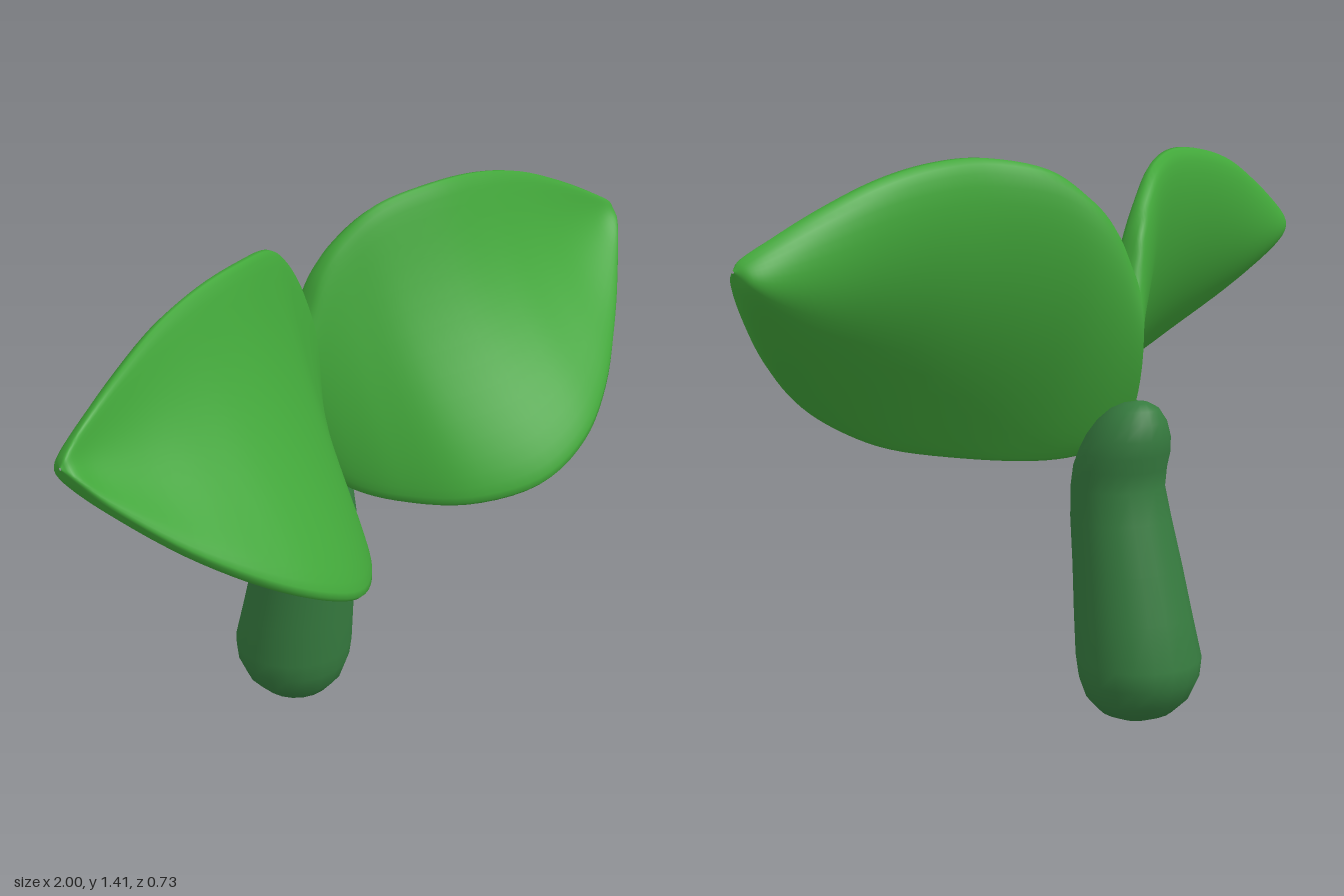
import * as THREE from 'three';

const leafGreen = new THREE.MeshStandardMaterial({ color: 0x42a73a });
leafGreen.name = 'leaf green';
const stemGreen = new THREE.MeshStandardMaterial({ color: 0x367b3f });
stemGreen.name = 'stem green';

// Skin a row of closed rings, each a list of [x, y, z] points
function loft(rings, flip = false) {
  const n = rings[0].length, index = [];
  for (let i = 0; i < rings.length - 1; i++) {
    for (let j = 0; j < n; j++) {
      const k = (j + 1) % n;
      const a = i * n + j, b = a + n, c = i * n + k, d = c + n;
      if (flip) index.push(a, c, b, b, c, d);
      else index.push(a, b, c, b, d, c);
    }
  }
  const g = new THREE.BufferGeometry();
  g.setAttribute('position', new THREE.Float32BufferAttribute(rings.flat(2), 3));
  g.setIndex(index);
  g.computeVertexNormals();
  return g;
}

// Leaf stations: x, top y, top z, bottom y, bottom z, cup depth, half thickness
const stations = [
  [0, 1.15, -0.155, 0.73, -0.13, 0.015, 0.06],
  [0.04, 1.24, -0.15, 0.675, -0.05, 0.022, 0.058],
  [0.10, 1.315, -0.13, 0.65, 0.065, 0.04, 0.057],
  [0.20, 1.385, -0.09, 0.652, 0.22, 0.06, 0.056],
  [0.35, 1.415, -0.035, 0.685, 0.33, 0.076, 0.055],
  [0.50, 1.408, -0.012, 0.755, 0.355, 0.08, 0.055],
  [0.65, 1.375, 0.008, 0.845, 0.315, 0.076, 0.053],
  [0.80, 1.315, 0.035, 0.96, 0.235, 0.064, 0.049],
  [0.92, 1.255, 0.058, 1.08, 0.155, 0.042, 0.042],
  [0.98, 1.22, 0.072, 1.155, 0.108, 0.018, 0.032],
  [1.0, 1.2, 0.084, 1.194, 0.086, 0, 0.003],
];

function leafGeometry(side) {
  const curve = (f) => new THREE.CatmullRomCurve3(stations.map(f), false, 'catmullrom', 0.5);
  const top = curve((s) => new THREE.Vector3(s[0], s[1], s[2]));
  const bottom = curve((s) => new THREE.Vector3(s[0], s[3], s[4]));
  const shape = curve((s) => new THREE.Vector3(s[5], s[6], 0));
  const rings = [], steps = 50, sides = 40;
  for (let i = 0; i <= steps; i++) {
    const t = i / steps;
    const T = top.getPoint(t), B = bottom.getPoint(t), { x: cup, y: thick } = shape.getPoint(t);
    const dy = B.y - T.y, dz = B.z - T.z, len = Math.hypot(dy, dz);
    const ring = [];
    for (let j = 0; j < sides; j++) {
      // cupped section with rounded rims: down the back, up the front
      const a = (j / sides) * Math.PI * 2, sn = Math.sin(a);
      const s = (1 - Math.cos(a)) / 2;
      const off = cup * Math.sin(Math.PI * Math.pow(s, 0.82))
        + thick * Math.sign(sn) * Math.pow(Math.abs(sn), 0.7);
      ring.push([side * T.x, T.y + dy * s - (dz / len) * off, T.z + dz * s + (dy / len) * off]);
    }
    rings.push(ring);
  }
  return loft(rings, side < 0);
}

// Stem rings: y, centre z, radius
const stemRings = [
  [0.003, -0.2, 0.001], [0.01, -0.2, 0.05], [0.03, -0.203, 0.095], [0.07, -0.207, 0.133],
  [0.12, -0.21, 0.153], [0.17, -0.209, 0.159], [0.28, -0.19, 0.149], [0.4, -0.171, 0.138],
  [0.52, -0.149, 0.127], [0.6, -0.139, 0.118], [0.65, -0.146, 0.117], [0.69, -0.16, 0.114],
  [0.73, -0.172, 0.105], [0.77, -0.184, 0.086], [0.8, -0.193, 0.06], [0.815, -0.197, 0.03],
  [0.82, -0.2, 0.001],
];

function stemGeometry() {
  const sides = 20;
  return loft(stemRings.map(([y, z, r]) => Array.from({ length: sides }, (_, j) => {
    const a = (j / sides) * Math.PI * 2;
    return [-Math.sin(a) * r, y, z + Math.cos(a) * r];
  })));
}

export function createModel() {
  const model = new THREE.Group();
  model.name = 'sprout';
  const add = (name, geometry, material) => {
    const mesh = new THREE.Mesh(geometry, material);
    mesh.name = name;
    model.add(mesh);
  };
  add('stem', stemGeometry(), stemGreen);
  add('leftLeaf', leafGeometry(1), leafGreen);
  add('rightLeaf', leafGeometry(-1), leafGreen);
  return model;
}
